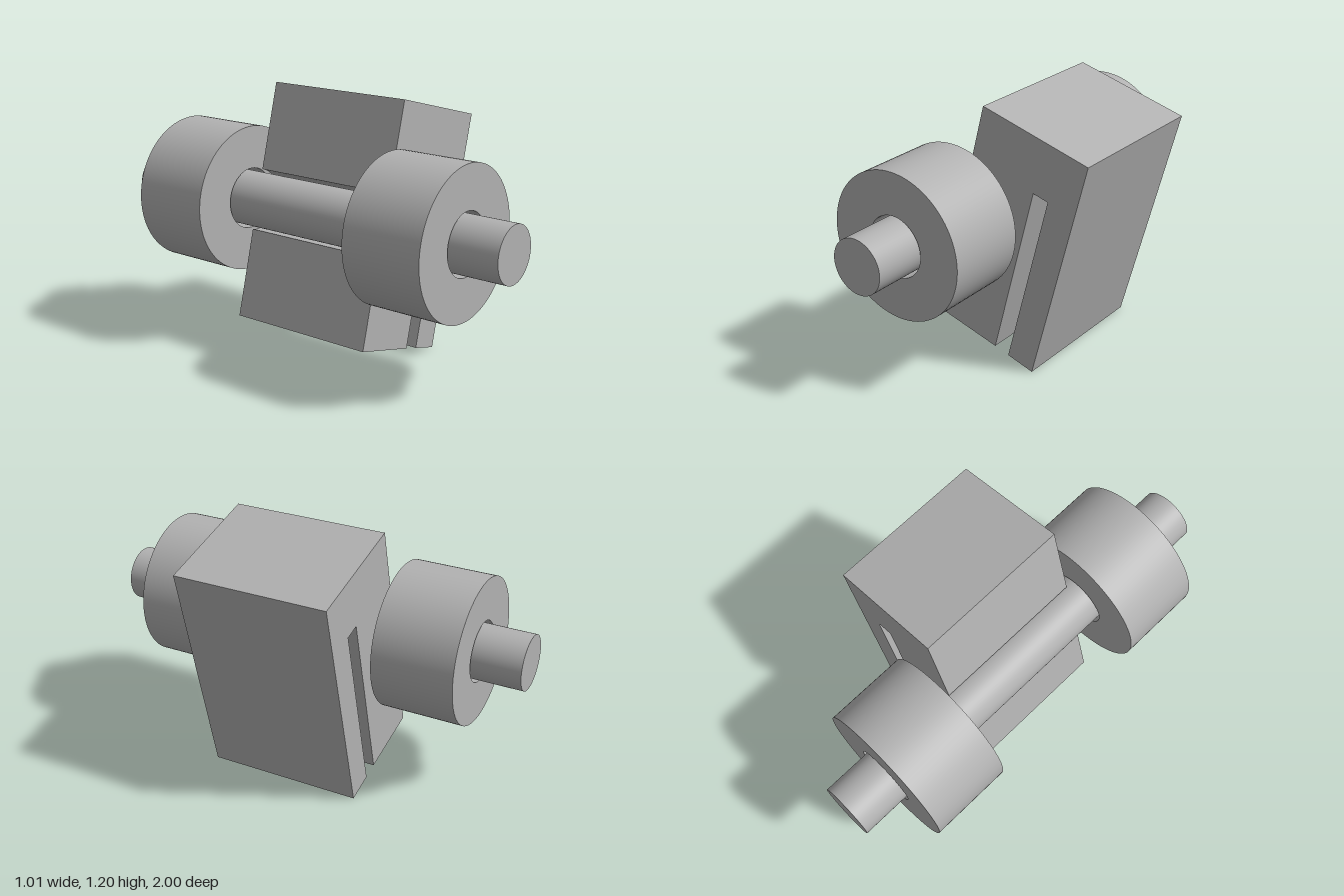
import * as THREE from 'three';
import { toCreasedNormals } from 'three/addons/utils/BufferGeometryUtils.js';

const AXIS_X = -0.17, AXIS_Y = 0.673;
const AXLE_R = 0.126, BORE_R = 0.14, WHEEL_R = 0.336;
const TILT = THREE.MathUtils.degToRad(75); // lean of the block's sides

const grey = new THREE.MeshStandardMaterial({ color: 0xb2b2b2 });
grey.name = 'plain grey';

// Extrude a profile along z, centred on z = 0, smooth on round walls only
function extruded(name, shape, depth) {
  const geometry = new THREE.ExtrudeGeometry(shape, { depth, bevelEnabled: false, curveSegments: 48 });
  geometry.translate(0, 0, -depth / 2);
  const mesh = new THREE.Mesh(toCreasedNormals(geometry, 0.5), grey);
  mesh.name = name;
  return mesh;
}

export function createModel() {
  const model = new THREE.Group();
  model.name = 'axleAssembly';

  // Leaning block with a half-round axle groove and a long slot from below
  const block = new THREE.Shape();
  block.moveTo(-0.31, 0.145);
  block.lineTo(AXIS_X - BORE_R * Math.cos(TILT), AXIS_Y - BORE_R * Math.sin(TILT));
  block.absarc(AXIS_X, AXIS_Y, BORE_R, TILT - Math.PI, TILT, false);
  [[-0.028, 1.198], [0.502, 1.056], [0.219, 0], [0.087, 0.038],
    [0.304, 0.851], [0.23, 0.871], [0.013, 0.059]].forEach(([x, y]) => block.lineTo(x, y));
  block.closePath();
  model.add(extruded('slottedBlock', block, 0.72));

  // Axle along z
  const axle = new THREE.Mesh(new THREE.CylinderGeometry(AXLE_R, AXLE_R, 2, 64), grey);
  axle.name = 'axle';
  axle.rotation.x = Math.PI / 2;
  axle.position.set(AXIS_X, AXIS_Y, 0);
  model.add(axle);

  // Thick wheels with a loose bore, one each side of the block
  const ring = new THREE.Shape().absarc(0, 0, WHEEL_R, 0, Math.PI * 2, false);
  ring.holes.push(new THREE.Path().absarc(0, 0, BORE_R, 0, Math.PI * 2, true));
  for (const side of [1, -1]) {
    const wheel = extruded(side > 0 ? 'frontWheel' : 'backWheel', ring, 0.378);
    wheel.position.set(AXIS_X, AXIS_Y, side * 0.588);
    model.add(wheel);
  }
  return model;
}
